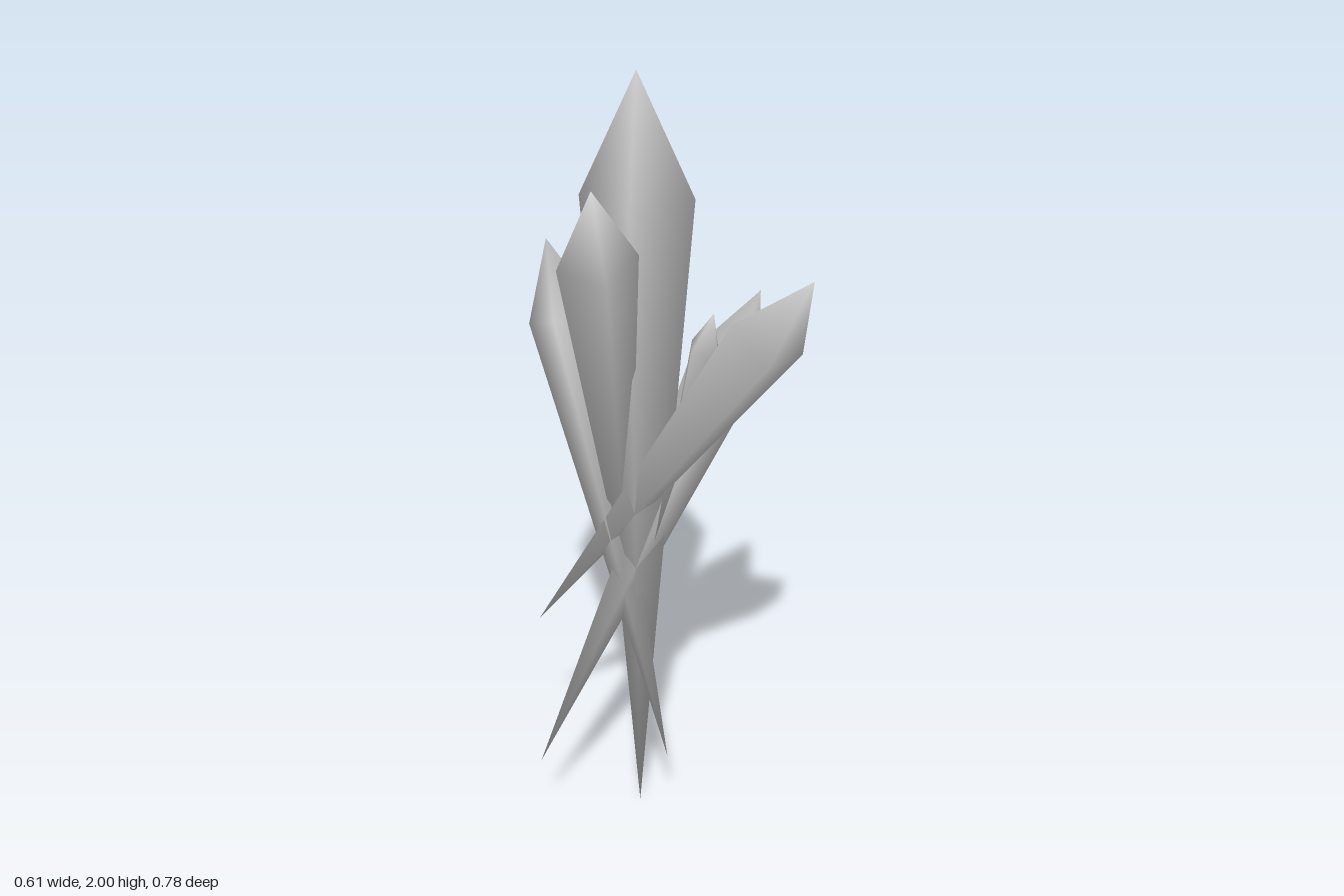
import * as THREE from 'three';

const V = (a) => new THREE.Vector3(...a);

// Square bipyramid from base point to tip; its widest ring sits near the tip.
// (hx, hz) is the plan direction of one ring corner, r the ring's corner radius.
function crystal(name, tipAt, baseAt, r, [hx, hz], ringAt = 0.145) {
  const tip = V(tipAt), base = V(baseAt);
  const axis = tip.clone().sub(base).normalize();
  const u = new THREE.Vector3(hx, -(hx * axis.x + hz * axis.z) / axis.y, hz).normalize();
  const v = axis.clone().cross(u);
  const centre = tip.clone().lerp(base, ringAt);
  const points = [tip, base];
  for (let i = 0; i < 4; i++) {
    const a = (i * Math.PI) / 2;
    points.push(centre.clone().addScaledVector(u, r * Math.cos(a)).addScaledVector(v, r * Math.sin(a)));
  }
  const index = [];
  for (let i = 0; i < 4; i++) {
    const a = 2 + i, b = 2 + ((i + 1) % 4);
    index.push(0, a, b, 1, b, a);
  }
  const geometry = new THREE.BufferGeometry().setFromPoints(points);
  geometry.setIndex(index);
  geometry.computeVertexNormals(); // shared corners give soft shading
  const mesh = new THREE.Mesh(geometry, new THREE.MeshStandardMaterial({ color: 0xcccccc }));
  mesh.name = name;
  return mesh;
}

export function createModel() {
  const group = new THREE.Group();
  group.name = 'crystalCluster';
  group.add(
    // tall upright crystal
    crystal('centralCrystal', [-0.02, 2, -0.05], [-0.02, 0, -0.05], 0.132, [1, 1]),
    // four leaning crystals
    crystal('rightCrystal', [-0.255, 1.82, 0.1], [0.04, 0.55, -0.17], 0.092, [-0.083, -0.04]),
    crystal('leftCrystal', [0.302, 1.42, 0.013], [-0.305, 0.24, -0.093], 0.09, [0.046, -0.074]),
    crystal('frontCrystal', [0.122, 1.615, 0.39], [-0.155, 0.505, -0.303], 0.092, [0.055, -0.07]),
    crystal('backCrystal', [-0.038, 1.51, -0.39], [-0.07, 0.28, 0.13], 0.092, [-0.06, -0.065]),
    // small crystals between them
    crystal('smallOuterBackCrystal', [0.025, 1.44, -0.37], [-0.03, 0.83, -0.1], 0.043, [1, -0.1]),
    crystal('smallInnerBackCrystal', [0.07, 1.475, -0.23], [-0.04, 0.83, -0.09], 0.043, [0.9, -0.1]),
    crystal('smallFrontCrystal', [0.055, 1.47, 0.136], [-0.01, 0.83, 0], 0.043, [1, -0.1]),
  );
  return group;
}
